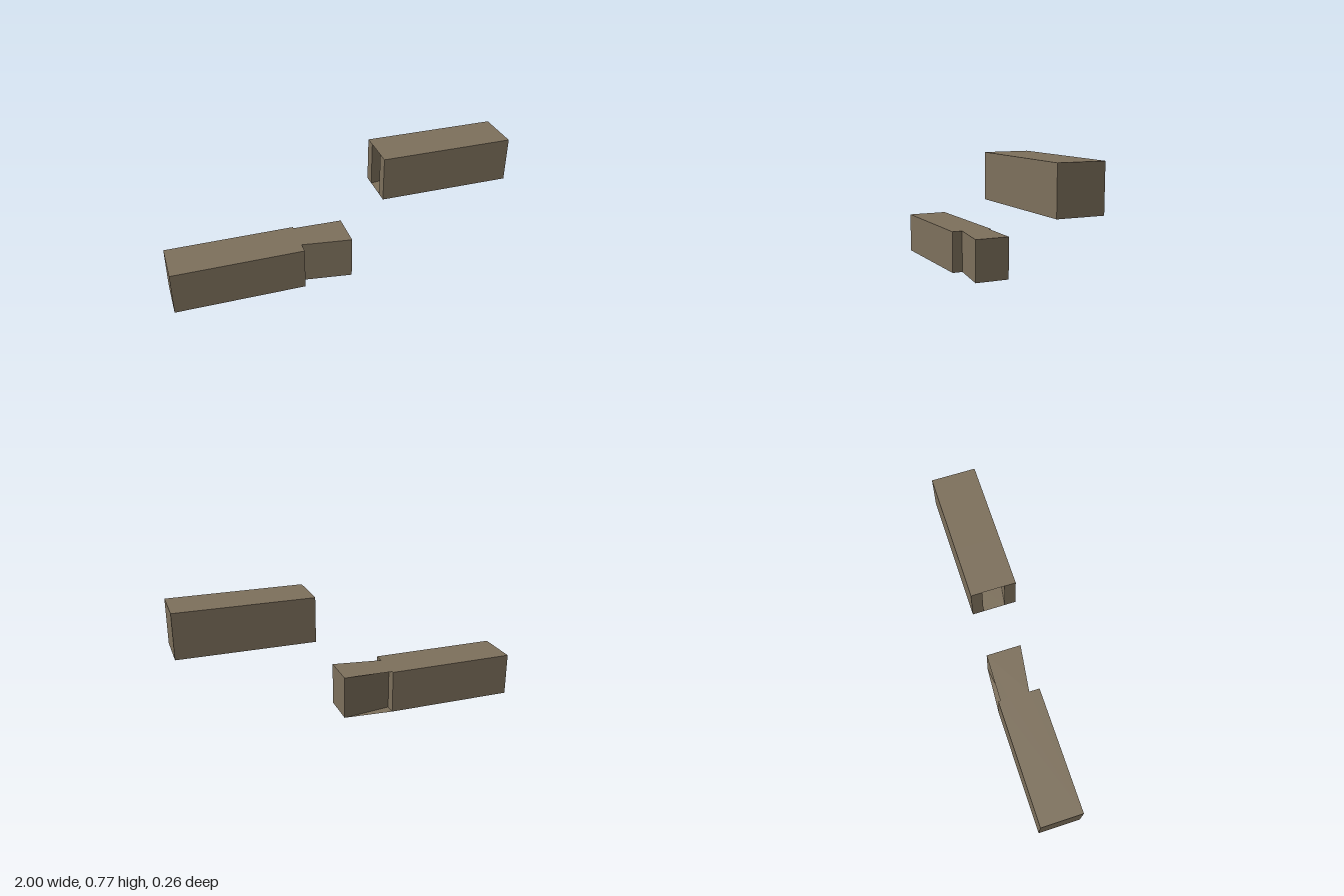
import * as THREE from 'three';

const HALF = 0.128;      // half width of the square timber
const SIZE = HALF * 2;
const NECK = 0.064;      // half width of the dovetail at its narrow end
const FLARE = 0.107;     // half width of the dovetail at its wide end
const LIFT = 0.512;      // height of the raised beam

// Outlines are drawn in plan: [x, back], where back is -z.
function outline(points) {
  return new THREE.Shape(points.map(([x, b]) => new THREE.Vector2(x, b)));
}

function addPart(group, name, geometry, material, y) {
  geometry.rotateX(-Math.PI / 2);
  const mesh = new THREE.Mesh(geometry, material);
  mesh.name = name;
  mesh.position.y = y;
  group.add(mesh);
}

const prism = (points) =>
  new THREE.ExtrudeGeometry(outline(points), { depth: SIZE, bevelEnabled: false });
const sheet = (points) => new THREE.ShapeGeometry(outline(points));

export function createModel() {
  const model = new THREE.Group();
  model.name = 'dovetailBeams';
  const wood = new THREE.MeshStandardMaterial({ color: 0x7d705c });
  wood.name = 'brownWood';
  wood.side = THREE.DoubleSide;

  // Lower beam with its dovetail tenon
  const shoulder = -0.234, tip = 0.06;
  const tenonBeam = new THREE.Group();
  tenonBeam.name = 'tenonBeam';
  addPart(tenonBeam, 'beamWithTenon', prism([
    [-1, -HALF], [shoulder, -HALF], [shoulder, -NECK], [tip, -FLARE],
    [tip, FLARE], [shoulder, NECK], [shoulder, HALF], [-1, HALF],
  ]), wood, 0);

  // Thin webs beside the back of the tenon
  const web = (reach) => sheet([[shoulder, NECK], [tip, FLARE], [shoulder, reach]]);
  addPart(tenonBeam, 'lowerWeb', web(HALF), wood, 0);
  addPart(tenonBeam, 'upperWeb', web(0.115), wood, SIZE);

  // Raised beam with a dovetail socket in its end
  const mouth = 0.234, floor = 0.528;
  const socketBeam = new THREE.Group();
  socketBeam.name = 'socketBeam';
  addPart(socketBeam, 'beamWithSocket', prism([
    [mouth, -HALF], [1, -HALF], [1, HALF], [mouth, HALF],
    [mouth, NECK], [floor, FLARE], [floor, -FLARE], [mouth, -NECK],
  ]), wood, LIFT);

  // Thin sheets closing the socket above and below
  for (const [name, y] of [['socketFloor', LIFT], ['socketRoof', LIFT + SIZE]]) {
    addPart(socketBeam, name, sheet([
      [mouth, -NECK], [floor, -FLARE], [floor, FLARE], [mouth, NECK],
    ]), wood, y);
  }

  model.add(tenonBeam, socketBeam);
  return model;
}
